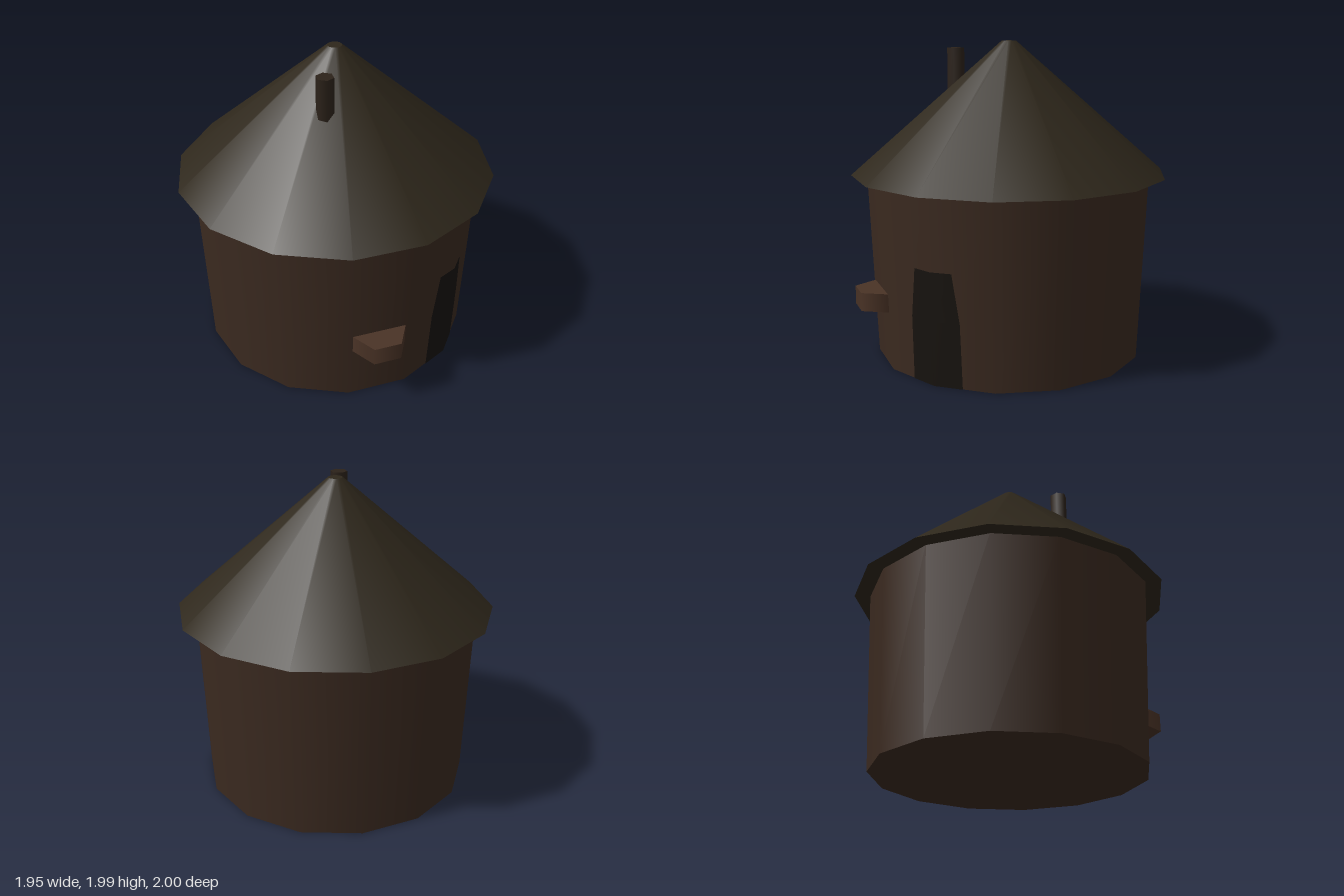
import * as THREE from 'three';

const SIDES = 14;
const WALL_TOP = 1.17, R_BOTTOM = 0.85, R_TOP = 0.9;

function part(name, geometry, color, y = 0, x = 0, z = 0) {
  const mesh = new THREE.Mesh(geometry, new THREE.MeshStandardMaterial({ color }));
  mesh.name = name;
  mesh.position.set(x, y, z);
  return mesh;
}

// Point on the many-sided tapering wall, pushed out by a small gap
function wallPoint(angle, y, gap) {
  const step = (2 * Math.PI) / SIDES;
  const offset = angle - (Math.floor(angle / step) + 0.5) * step;
  const corner = R_BOTTOM + (R_TOP - R_BOTTOM) * (y / WALL_TOP) + gap;
  const r = (corner * Math.cos(step / 2)) / Math.cos(offset);
  return [Math.sin(angle) * r, y, Math.cos(angle) * r];
}

// Dark doorway skin that follows the wall and bends at its corner
function doorwayGeometry() {
  const cornerAngle = (4 * 2 * Math.PI) / SIDES;
  const positions = [], index = [];
  const rows = [[0, 0.21], [0.4, 0.2], [0.7, 0.15]];
  rows.forEach(([y, half], j) => {
    [-half, 0, half].forEach((d, i) => {
      positions.push(...wallPoint(cornerAngle + d, y, 0.004));
      if (j < rows.length - 1 && i < 2) {
        const a = j * 3 + i;
        index.push(a, a + 1, a + 4, a, a + 4, a + 3);
      }
    });
  });
  const g = new THREE.BufferGeometry();
  g.setAttribute('position', new THREE.Float32BufferAttribute(positions, 3));
  g.setIndex(index);
  g.computeVertexNormals();
  return g;
}

export function createModel() {
  const hut = new THREE.Group();
  hut.name = 'roundHut';

  // Walls, slightly wider at the top
  hut.add(part('wall', new THREE.CylinderGeometry(R_TOP, R_BOTTOM, WALL_TOP, SIDES), 0x3b2a20, WALL_TOP / 2));

  // Conical roof with a small blunt tip and overhanging eave
  const eave = 1.155, tip = 1.985;
  hut.add(part('roof', new THREE.CylinderGeometry(0.045, 1, tip - eave, SIDES), 0x2e271b, (eave + tip) / 2));

  // Six-sided chimney rising out of the roof
  hut.add(part('chimney', new THREE.CylinderGeometry(0.055, 0.055, 0.39, 6), 0x2c221a, 1.745, 0.2, 0.272));

  // Six-sided shelf half sunk into one wall face
  const shelf = part('shelf', new THREE.CylinderGeometry(0.17, 0.17, 0.115, 6), 0x4a3326, 0.418, 0.764, 0.368);
  shelf.rotation.y = (-2 * Math.PI) / SIDES;
  hut.add(shelf);

  hut.add(part('doorway', doorwayGeometry(), 0x17130f));
  return hut;
}
